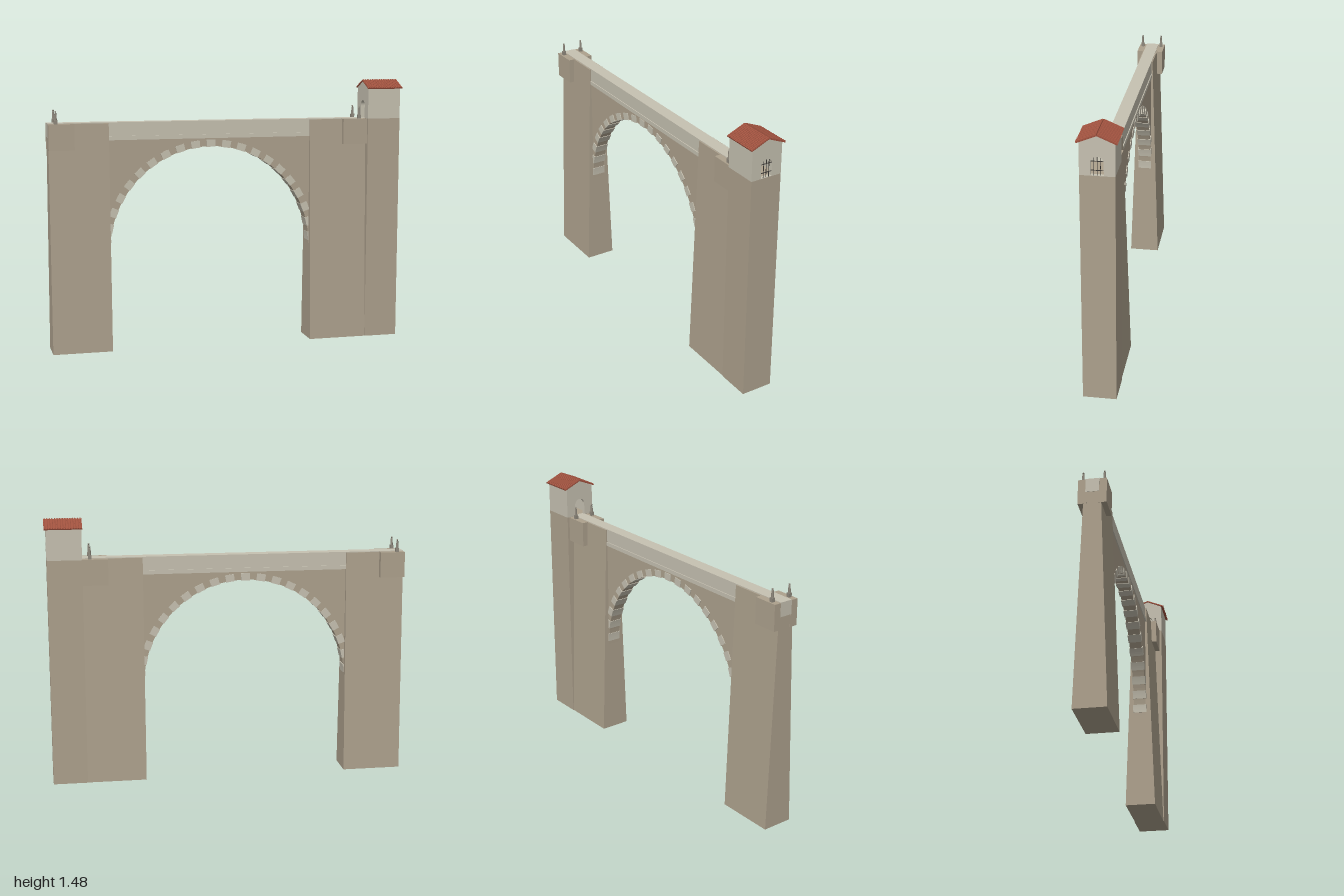
import * as THREE from 'three';

const material = (color) => new THREE.MeshStandardMaterial({ color, flatShading: true, side: THREE.DoubleSide });

export function createModel() {
  const model = new THREE.Group();
  const brown = material(0xada18d), pale = material(0xc6c1b1);
  const roofRed = material(0xa0523f), iron = material(0x3a3835), statueStone = material(0x8f897d);

  const add = (name, geometry, mat, parent = model) => {
    const mesh = new THREE.Mesh(geometry, mat);
    mesh.name = name;
    parent.add(mesh);
    return mesh;
  };
  // Box given by its limits on each axis
  const box = (name, mat, [x0, x1], [y0, y1], [z0, z1], parent = model) => {
    const mesh = add(name, new THREE.BoxGeometry(x1 - x0, y1 - y0, z1 - z0), mat, parent);
    mesh.position.set((x0 + x1) / 2, (y0 + y1) / 2, (z0 + z1) / 2);
    return mesh;
  };
  // Shape in the x-y plane given thickness centred on z = 0
  const slab = (shape, half, curveSegments = 48) =>
    new THREE.ExtrudeGeometry(shape, { depth: 2 * half, bevelEnabled: false, curveSegments }).translate(0, 0, -half);

  // Piers, battered on their front and back faces
  const pier = (name, x0, x1) => {
    const profile = new THREE.Shape([[-0.085, 0], [0.085, 0], [0.042, 1.258], [-0.042, 1.258]]
      .map(([a, b]) => new THREE.Vector2(a, b)));
    const geometry = slab(profile, (x1 - x0) / 2).rotateY(Math.PI / 2).translate((x0 + x1) / 2, 0, 0);
    add(name, geometry, brown);
  };
  pier('rightPier', -0.998, -0.67);
  pier('leftPier', 0.47, 0.81);

  // Spandrel wall above the round arch
  const cx = -0.1, cy = 0.55, radius = 0.57;
  const wall = new THREE.Shape();
  wall.moveTo(cx + radius, cy);
  wall.lineTo(cx + radius, 1.17);
  wall.lineTo(cx - radius, 1.17);
  wall.lineTo(cx - radius, cy);
  wall.absarc(cx, cy, radius, Math.PI, 0, true);
  add('spandrelWall', slab(wall, 0.035), brown);

  // Arch stones, spaced evenly round the ring
  const archStones = new THREE.Group();
  archStones.name = 'archStones';
  model.add(archStones);
  const count = 21, step = Math.PI / count;
  for (let i = 0; i < count; i++) {
    const a0 = (i + 0.22) * step, a1 = (i + 0.78) * step;
    const stone = new THREE.Shape();
    stone.absarc(cx, cy, radius + 0.037, a0, a1, false);
    stone.absarc(cx, cy, radius - 0.003, a1, a0, true);
    add('archStone', slab(stone, 0.039, 2), pale, archStones);
  }

  // Deck and string course
  box('deck', pale, [-1, 0.8], [1.185, 1.262], [-0.036, 0.036]);
  box('stringCourse', pale, [-0.67, 0.47], [1.165, 1.187], [-0.041, 0.041]);

  // Corner blocks with a small statue on each
  for (const [x0, x1, statueX] of [[-0.999, -0.86, -0.958], [0.66, 0.8, 0.757]]) {
    for (const side of [-1, 1]) {
      const limits = side > 0 ? [0.03, 0.075] : [-0.075, -0.03];
      box('cornerBlock', brown, [x0, x1], [1.117, 1.259], limits);

      const statue = new THREE.Group();
      statue.name = 'statue';
      statue.position.set(statueX, 1.259, side * 0.056);
      box('statueBase', statueStone, [-0.009, 0.009], [0, 0.022], [-0.009, 0.009], statue);
      add('statueBody', new THREE.CylinderGeometry(0.0055, 0.0075, 0.038, 8), statueStone, statue).position.y = 0.041;
      add('statueHead', new THREE.SphereGeometry(0.005, 8, 6), statueStone, statue).position.y = 0.066;
      model.add(statue);
    }
  }

  // Tower shaft
  box('towerShaft', brown, [0.8, 0.99], [0, 1.26], [-0.088, 0.088]);

  // Gabled end walls of the tower room, each with an arched opening
  const gable = new THREE.Shape([[-0.088, 1.26], [0.088, 1.26], [0.088, 1.43], [0, 1.469], [-0.088, 1.43]]
    .map(([a, b]) => new THREE.Vector2(a, b)));
  const opening = new THREE.Path();
  opening.moveTo(-0.032, 1.262);
  opening.lineTo(0.032, 1.262);
  opening.lineTo(0.032, 1.328);
  opening.absarc(0, 1.328, 0.032, 0, Math.PI, false);
  opening.lineTo(-0.032, 1.262);
  gable.holes.push(opening);
  for (const x of [0.81, 0.98]) {
    add('gableWall', slab(gable, 0.01, 10).rotateY(Math.PI / 2).translate(x, 0, 0), pale);
  }
  box('roomSideFront', pale, [0.82, 0.97], [1.26, 1.43], [0.068, 0.088]);
  box('roomSideBack', pale, [0.82, 0.97], [1.26, 1.43], [-0.088, -0.068]);

  // Iron grille in the outer opening
  const grille = new THREE.Group();
  grille.name = 'grille';
  model.add(grille);
  for (const z of [-0.016, 0, 0.016]) {
    box('grilleBar', iron, [0.985, 0.988], [1.26, 1.357], [z - 0.001, z + 0.001], grille);
  }
  for (const y of [1.288, 1.335]) {
    box('grilleRail', iron, [0.985, 0.988], [y - 0.0015, y + 0.0015], [-0.032, 0.032], grille);
  }

  // Two roof slopes with ribs of tile running down them
  const slopeAngle = Math.atan2(0.042, 0.1), slopeLength = Math.hypot(0.042, 0.1);
  for (const side of [-1, 1]) {
    const slope = new THREE.Group();
    slope.name = side > 0 ? 'frontRoofSlope' : 'backRoofSlope';
    slope.position.set(0.8975, 1.472, 0);
    slope.rotation.x = side * slopeAngle;
    const reach = side > 0 ? [0, slopeLength] : [-slopeLength, 0];
    box('roofSlab', roofRed, [-0.1025, 0.1025], [-0.003, 0.003], reach, slope);
    const ribs = 15, pitch = 0.205 / ribs;
    for (let i = 0; i < ribs; i++) {
      const rib = add('tileRib', new THREE.CylinderGeometry(0.004, 0.004, slopeLength, 6).rotateX(Math.PI / 2), roofRed, slope);
      rib.position.set(-0.1025 + (i + 0.5) * pitch, 0.003, side * slopeLength / 2);
    }
    model.add(slope);
  }

  return model;
}
